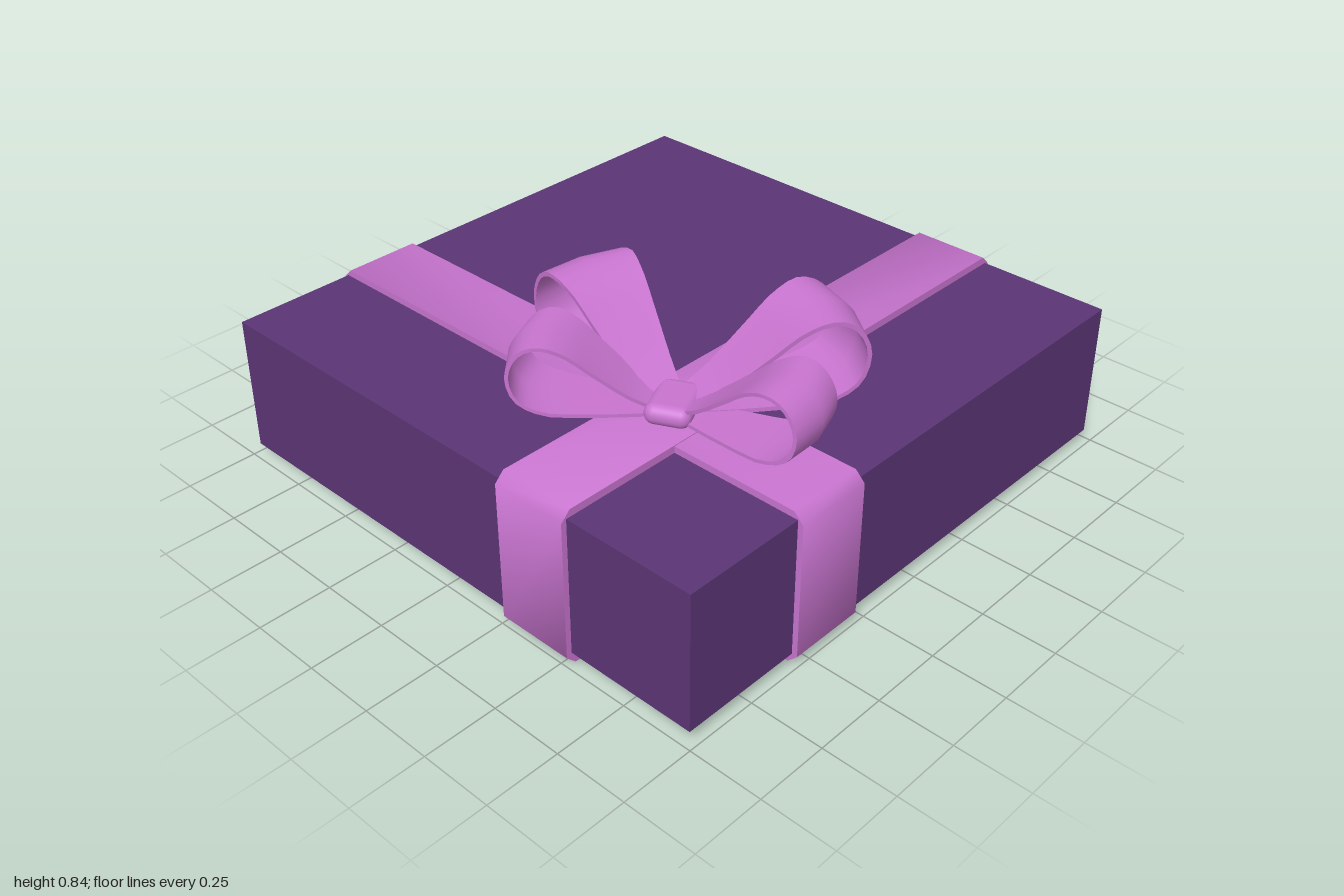
import * as THREE from 'three';
import { toCreasedNormals } from 'three/addons/utils/BufferGeometryUtils.js';
import { RoundedBoxGeometry } from 'three/addons/geometries/RoundedBoxGeometry.js';

const boxPaper = new THREE.MeshStandardMaterial({ name: 'purple paper', color: 0x5b3575 });
const ribbon = new THREE.MeshStandardMaterial({ name: 'pink ribbon', color: 0xc975d0 });
const CREASE = 1.0;

function add(parent, name, geometry, material) {
  const mesh = new THREE.Mesh(geometry, material);
  mesh.name = name;
  parent.add(mesh);
  return mesh;
}

// Band wrapped round the box: a chamfered rectangle, extruded along z by its width
function bandGeometry(bottom, top) {
  const c = 0.033, w = 1;
  const shape = new THREE.Shape([
    [-w + c, bottom], [w - c, bottom], [w, bottom + c], [w, top - c],
    [w - c, top], [-w + c, top], [-w, top - c], [-w, bottom + c],
  ].map(([x, y]) => new THREE.Vector2(x, y)));
  const geo = new THREE.ExtrudeGeometry(shape, { depth: 0.266, bevelEnabled: false });
  geo.translate(0, 0, -0.133);
  return toCreasedNormals(geo, CREASE);
}

// Bow loop: a thin strip swept out from the knot along +x, over and back underneath
function loopGeometry() {
  const path = new THREE.CatmullRomCurve3([
    [0.02, 0.022], [0.13, 0.075], [0.27, 0.18], [0.37, 0.255], [0.46, 0.283], [0.535, 0.25],
    [0.577, 0.165], [0.55, 0.07], [0.46, 0.025], [0.25, 0.012], [0.02, 0.012],
  ].map(([r, y]) => new THREE.Vector3(r, y, 0)));
  const steps = 28, half = 0.007, pos = [], index = [];
  const section = [[-1, 1], [0, 1], [1, 1], [1, -1], [0, -1], [-1, -1]];
  for (let i = 0; i <= steps; i++) {
    const p = path.getPoint(i / steps), t = path.getTangent(i / steps);
    const reach = Math.min(1, Math.max(0, p.x) / 0.45);
    const w = 0.04 + 0.1 * Math.pow(reach, 0.8);
    for (const [s, n] of section) {
      const bow = s === 0 ? 1 : 1 - 0.04 * reach; // the middle bulges slightly outwards
      pos.push(p.x * bow - t.y * n * half, p.y + t.x * n * half, s * w);
    }
  }
  for (let i = 0; i < steps; i++) {
    for (let j = 0; j < 6; j++) {
      const k = (j + 1) % 6;
      const a = i * 6 + j, b = i * 6 + k, c = b + 6, d = a + 6;
      index.push(a, b, c, a, c, d);
    }
  }
  const geo = new THREE.BufferGeometry();
  geo.setAttribute('position', new THREE.Float32BufferAttribute(pos, 3));
  geo.setIndex(index);
  return toCreasedNormals(geo, CREASE);
}

export function createModel() {
  const model = new THREE.Group();
  model.name = 'giftBox';

  const box = add(model, 'box', new THREE.BoxGeometry(1.962, 0.473, 1.962), boxPaper);
  box.position.y = 0.279;

  // Two crossing bands
  const sideBand = add(model, 'sidewaysBand', bandGeometry(0.008, 0.538), ribbon);
  sideBand.position.z = 0.424;
  const longBand = add(model, 'lengthwiseBand', bandGeometry(0, 0.541), ribbon);
  longBand.rotation.y = Math.PI / 2;
  longBand.position.x = 0.392;

  // Bow: two large loops at the back, two smaller ones in front
  const bow = new THREE.Group();
  bow.name = 'bow';
  bow.position.set(0.4, 0.545, 0.43);
  model.add(bow);
  const loop = loopGeometry();
  const loops = [
    ['leftBackLoop', 0.27, -0.51, 1],
    ['rightBackLoop', -0.565, -0.13, 1],
    ['leftLoop', 0.47, -0.09, 0.84],
    ['rightFrontLoop', -0.41, 0.275, 0.84],
  ];
  for (const [name, dx, dz, scale] of loops) {
    const mesh = add(bow, name, loop, ribbon);
    mesh.rotation.y = Math.atan2(-dz, dx);
    mesh.scale.setScalar(scale);
  }

  // Knot over the meeting point of the loops
  const knot = add(bow, 'knot', new RoundedBoxGeometry(0.145, 0.068, 0.19, 4, 0.033), ribbon);
  knot.position.set(0.005, 0.023, 0);
  knot.rotation.y = 0.45;

  return model;
}
